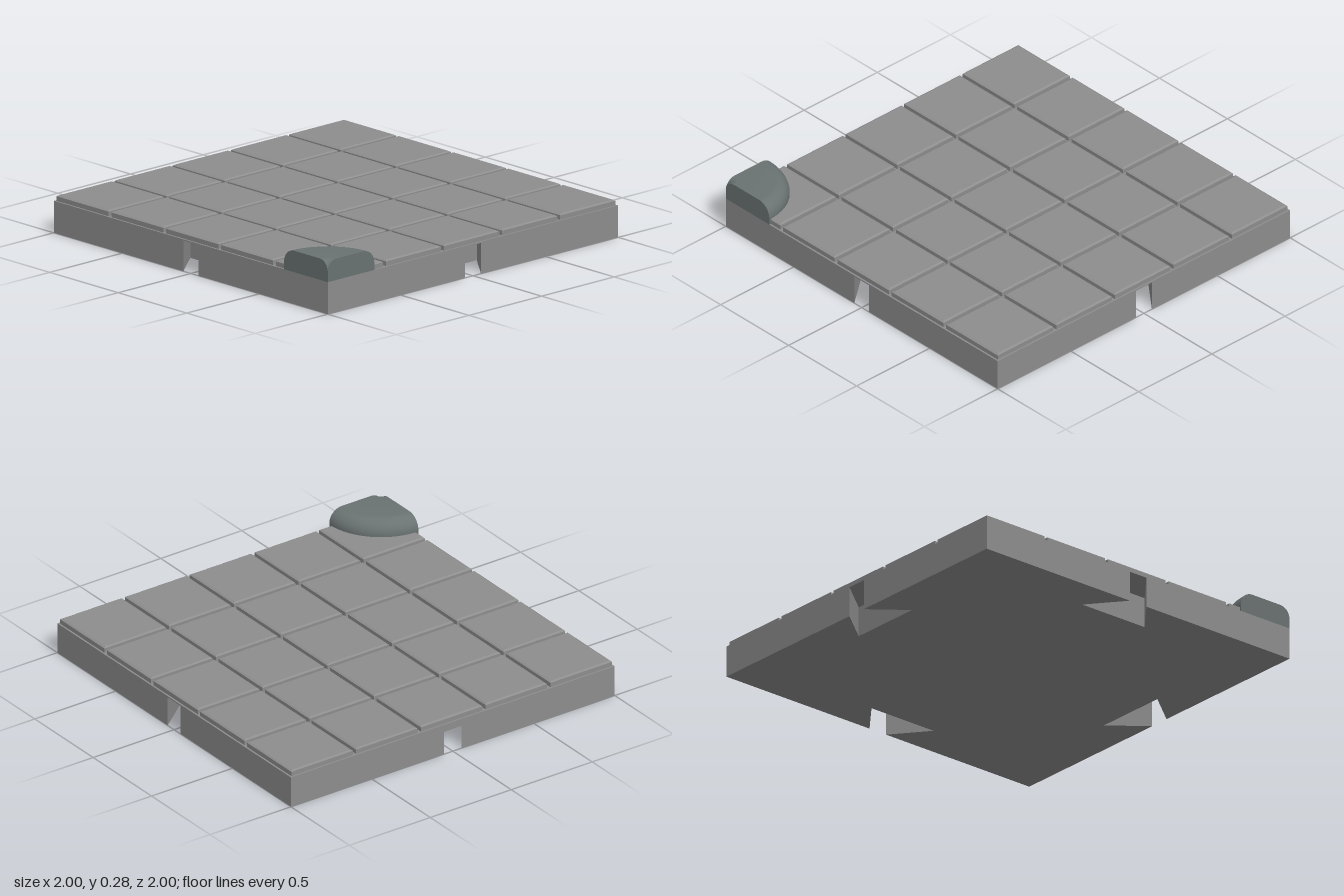
import * as THREE from 'three';

const PITCH = 0.4, SLAB_Y = 0.16, FLOOR_Y = 0.167, TILE_TOP = 0.197;

// Square tile with a shallow chamfer round the top
function tileGeometry() {
  const h = TILE_TOP - FLOOR_Y, half = 0.19, inset = 0.01, drop = 0.006;
  const box = new THREE.BoxGeometry(2 * half, h, 2 * half, 1, 2, 1);
  const p = box.attributes.position;
  for (let i = 0; i < p.count; i++) {
    const y = p.getY(i);
    if (y > h / 4) {
      p.setX(i, Math.sign(p.getX(i)) * (half - inset));
      p.setZ(i, Math.sign(p.getZ(i)) * (half - inset));
    } else if (y > -h / 4) p.setY(i, h / 2 - drop);
  }
  const geo = box.toNonIndexed();
  geo.computeVertexNormals();
  return geo;
}

// Square outline with a dovetail notch in the middle of each side
function baseShape() {
  const side = [[-1, -1], [-0.055, -1], [-0.205, -0.81], [0.205, -0.81], [0.055, -1]];
  const pts = [];
  for (let k = 0; k < 4; k++) {
    for (const [x, y] of side) {
      pts.push(new THREE.Vector2(x, y).rotateAround(new THREE.Vector2(), k * Math.PI / 2));
    }
  }
  return new THREE.Shape(pts);
}

// Half section of the corner piece: flat top, rounded at rim and axis
function cornerProfile() {
  const R = 0.32, top = 0.279, ro = 0.075, ri = 0.06, n = 10;
  const pts = [new THREE.Vector2(R, FLOOR_Y)];
  for (let i = 0; i <= n; i++) {
    const a = i / n * Math.PI / 2;
    pts.push(new THREE.Vector2(R - ro + ro * Math.cos(a), top - ro + ro * Math.sin(a)));
  }
  for (let i = 0; i <= n; i++) {
    const a = (1 + i / n) * Math.PI / 2;
    pts.push(new THREE.Vector2(Math.max(0, ri + ri * Math.cos(a)), top - ri + ri * Math.sin(a)));
  }
  return pts;
}

export function createModel() {
  const root = new THREE.Group();
  const grey = new THREE.MeshStandardMaterial({ color: 0x8d8d8d });
  const stone = new THREE.MeshStandardMaterial({ color: 0x6a7272, side: THREE.DoubleSide });
  const add = (parent, name, geo, mat, x = 0, y = 0, z = 0) => {
    const m = new THREE.Mesh(geo, mat);
    m.name = name;
    m.position.set(x, y, z);
    parent.add(m);
    return m;
  };

  // Notched base and the thin slab closing the notches
  const base = new THREE.ExtrudeGeometry(baseShape(), { depth: SLAB_Y, bevelEnabled: false });
  base.rotateX(-Math.PI / 2);
  add(root, 'base', base, grey);
  const slabH = FLOOR_Y - SLAB_Y;
  add(root, 'slab', new THREE.BoxGeometry(2, slabH, 2), grey, 0, SLAB_Y + slabH / 2, 0);

  // Five by five floor tiles
  const tiles = new THREE.Group();
  tiles.name = 'floorTiles';
  const tile = tileGeometry();
  for (let i = -2; i <= 2; i++) {
    for (let j = -2; j <= 2; j++) {
      add(tiles, 'tile', tile, grey, i * PITCH, (FLOOR_Y + TILE_TOP) / 2, j * PITCH);
    }
  }
  root.add(tiles);

  // Quarter-round corner piece with two flat end faces
  const corner = new THREE.Group();
  corner.name = 'cornerPiece';
  corner.position.set(-1, 0, 1);
  const profile = cornerProfile();
  add(corner, 'cornerRound', new THREE.LatheGeometry(profile, 24, Math.PI / 2, Math.PI / 2), stone);
  const cap = new THREE.ShapeGeometry(new THREE.Shape([...profile, new THREE.Vector2(0, FLOOR_Y)]));
  add(corner, 'cornerFrontFace', cap, stone);
  add(corner, 'cornerSideFace', cap, stone).rotation.y = Math.PI / 2;
  root.add(corner);

  return root;
}
